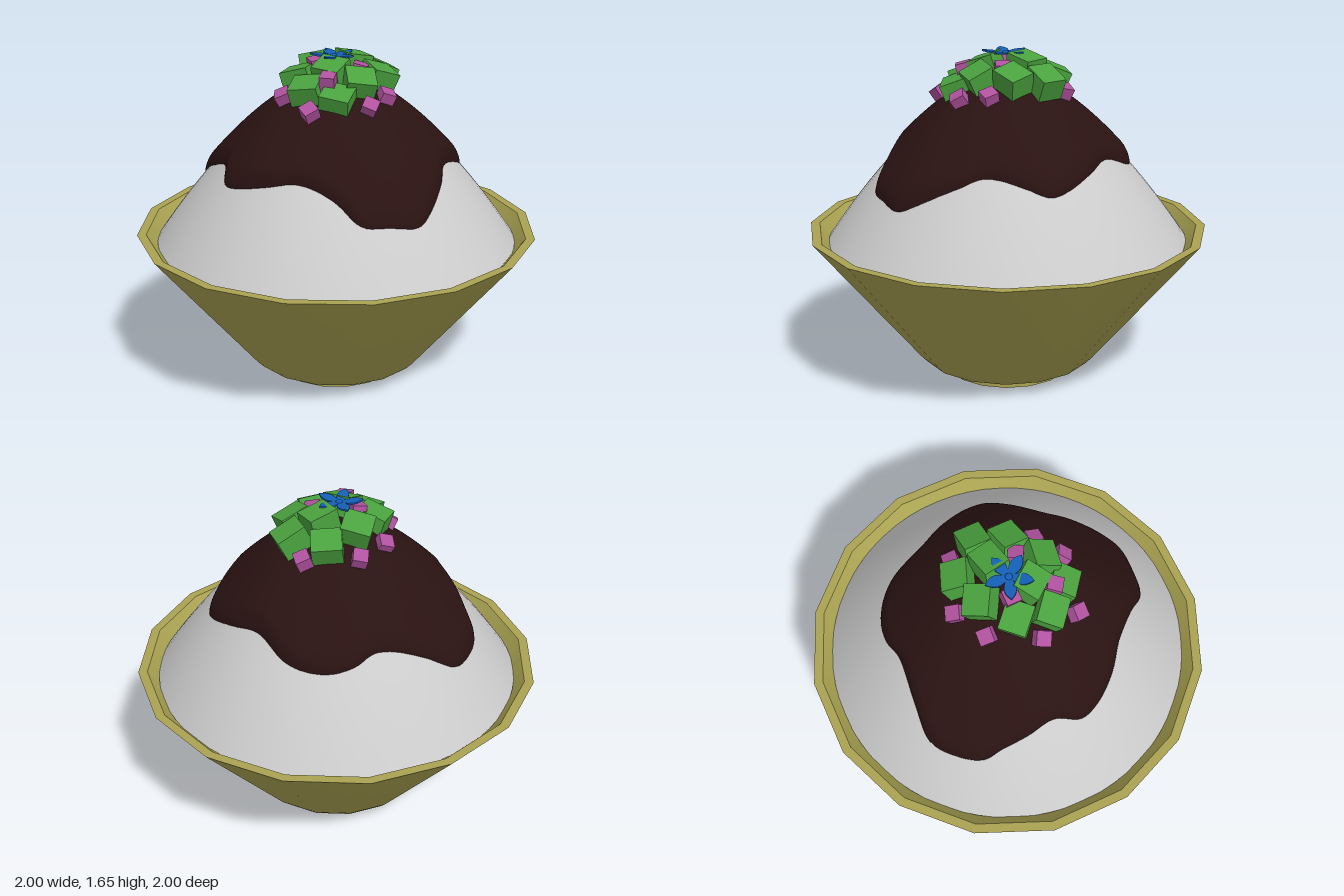
import * as THREE from 'three';
import { toCreasedNormals } from 'three/addons/utils/BufferGeometryUtils.js';
import { ParametricGeometry } from 'three/addons/geometries/ParametricGeometry.js';

const material = (color, extra = {}) => new THREE.MeshStandardMaterial({ color, ...extra });
const vectors = (list) => list.map(([x, y]) => new THREE.Vector2(x, y));
const moundHeight = (r) => 1.5 - 0.94 * Math.pow(r, 1.66);

function addMesh(parent, name, geometry, mat) {
  const mesh = new THREE.Mesh(geometry, mat);
  mesh.name = name;
  parent.add(mesh);
  return mesh;
}

// Sixteen-sided bowl with a hollow foot ring
function bowlGeometry() {
  const profile = vectors([
    [0, 0.04], [0.25, 0.04], [0.25, 0], [0.315, 0], [0.315, 0.06], [0.39, 0.06], [0.435, 0.073], [0.47, 0.11],
    [1, 0.765], [0.955, 0.765], [0.43, 0.12], [0.36, 0.1], [0, 0.1],
  ]);
  return toCreasedNormals(new THREE.LatheGeometry(profile, 16), Math.PI / 5);
}

// Smooth dome filling the bowl
function moundGeometry() {
  const profile = [];
  for (let i = 0; i <= 24; i++) {
    const r = 0.9 * (1 - i / 24);
    profile.push(new THREE.Vector2(r, moundHeight(r)));
  }
  return new THREE.LatheGeometry(profile, 64);
}

// Sauce follows the dome, ending in an irregular outline with a rounded lip
function sauceGeometry() {
  const outline = new THREE.CatmullRomCurve3([
    [0, -0.61], [0.11, -0.58], [0.26, -0.47], [0.4, -0.4], [0.53, -0.3], [0.59, -0.21], [0.585, -0.1], [0.55, 0.1],
    [0.56, 0.22], [0.54, 0.4], [0.5, 0.5], [0.38, 0.58], [0.26, 0.63], [0.13, 0.59], [-0.05, 0.55], [-0.2, 0.54],
    [-0.34, 0.5], [-0.44, 0.43], [-0.48, 0.3], [-0.57, 0.19], [-0.64, 0.08], [-0.69, 0], [-0.69, -0.13],
    [-0.64, -0.27], [-0.5, -0.36], [-0.3, -0.47], [-0.22, -0.55], [-0.12, -0.6],
  ].map(([x, z]) => new THREE.Vector3(x, 0, z)), true);
  return new ParametricGeometry((u, v, target) => {
    const lip = Math.max(0, (v - 0.7) / 0.3) * Math.PI * 0.65;
    const s = lip > 0 ? 0.93 + 0.07 * Math.sin(lip) : 0.01 + 0.92 * v / 0.7;
    target.copy(outline.getPoint(u % 1)).multiplyScalar(s);
    target.y = moundHeight(Math.hypot(target.x, target.z)) + 0.055 * Math.cos(lip);
  }, 140, 36);
}

// Boxes lean with the slope of the dome; each entry is x, y, z, yaw
function addPieces(parent, name, size, mat, list) {
  const group = new THREE.Group();
  group.name = name + 's';
  const up = new THREE.Vector3(0, 1, 0);
  const geometry = new THREE.BoxGeometry(...size);
  list.forEach(([x, y, z, yaw], i) => {
    const piece = addMesh(group, name, geometry, mat);
    piece.position.set(x, y, z);
    const normal = new THREE.Vector3(x * 2, 1, z * 2).normalize();
    piece.quaternion.setFromUnitVectors(up, normal);
    piece.rotateY(yaw);
    piece.rotateX(0.15 * Math.sin(i * 2.3));
  });
  parent.add(group);
}

// Five pointed petals, slightly raised at the tips
function flower() {
  const group = new THREE.Group();
  group.name = 'flower';
  const shape = new THREE.Shape();
  shape.moveTo(0, 0);
  shape.bezierCurveTo(0.03, 0.035, 0.045, 0.075, 0, 0.115);
  shape.bezierCurveTo(-0.045, 0.075, -0.03, 0.035, 0, 0);
  const petal = new THREE.ExtrudeGeometry(shape, { depth: 0.008, bevelEnabled: false, curveSegments: 8 });
  petal.rotateX(Math.PI / 2 - 0.12);
  const mat = material(0x1560b8);
  for (let i = 0; i < 5; i++) {
    addMesh(group, 'petal', petal, mat).rotation.y = -0.05 + i * Math.PI * 0.4;
  }
  const heart = addMesh(group, 'flowerCentre', new THREE.SphereGeometry(0.018, 12, 8), mat);
  heart.scale.y = 0.5;
  group.position.set(-0.01, 1.635, 0.01);
  return group;
}

export function createModel() {
  const model = new THREE.Group();
  model.name = 'dessertBowl';
  addMesh(model, 'bowl', bowlGeometry(), material(0xaaa352));
  addMesh(model, 'mound', moundGeometry(), material(0xcccccc));
  addMesh(model, 'sauce', sauceGeometry(), material(0x2a1212, { side: THREE.DoubleSide }));

  addPieces(model, 'greenCube', [0.145, 0.11, 0.13], material(0x4aa23e), [
    [-0.01, 1.52, -0.22, 0.25], [0.17, 1.52, -0.18, 0.65], [-0.12, 1.56, -0.1, 0.05], [0.06, 1.58, -0.09, 0.8],
    [0.2, 1.53, -0.03, 0.75], [-0.16, 1.53, 0.07, -0.15], [0.14, 1.53, 0.13, 0.4], [-0.09, 1.5, 0.21, -0.08],
    [0.06, 1.47, 0.24, -0.1], [0, 1.57, 0.1, -0.3],
  ]);
  addPieces(model, 'pinkCube', [0.072, 0.072, 0.072], material(0xb0529f), [
    [-0.16, 1.47, -0.21, 0.2], [0.09, 1.46, -0.27, 0.5], [-0.24, 1.47, -0.05, 0.5], [-0.21, 1.46, 0.19, 0.15],
    [-0.05, 1.43, 0.33, 0.7], [0.01, 1.555, 0.21, 0], [0.21, 1.44, 0.22, 0], [0.26, 1.46, 0.08, 0.5],
    [0.12, 1.57, 0.02, 0.1], [-0.09, 1.59, 0.03, 0.6],
  ]);
  model.add(flower());
  return model;
}
